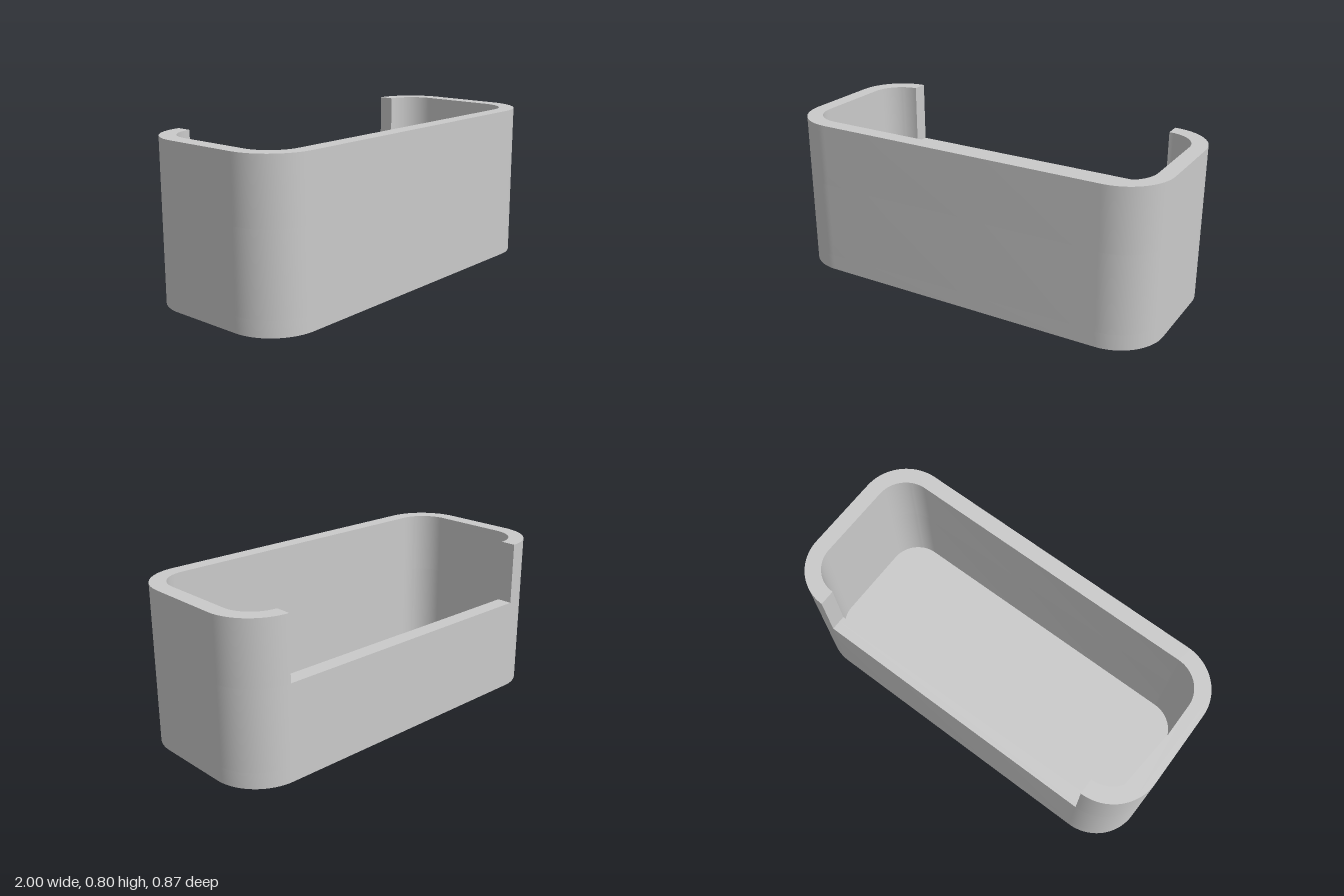
import * as THREE from 'three';
import { toCreasedNormals } from 'three/addons/utils/BufferGeometryUtils.js';

const HALF_X = 1, HALF_Z = 0.435, RADIUS = 0.24, WALL = 0.08;
const FLOOR = 0.08, SILL = 0.48, TOP = 0.8;

// Rounded rectangle running from the right end of the back edge, clockwise
// round to its left end; shape +y becomes the back (-z) of the model.
function outlinePoints(inset) {
  const r = RADIUS - inset, cx = HALF_X - RADIUS, cy = HALF_Z - RADIUS;
  const corners = [[cx, cy, 90], [cx, -cy, 0], [-cx, -cy, -90], [-cx, cy, -180]];
  const points = [], steps = 24;
  for (const [x, y, start] of corners) {
    for (let i = 0; i <= steps; i++) {
      const a = THREE.MathUtils.degToRad(start - (90 * i) / steps);
      points.push(new THREE.Vector2(x + r * Math.cos(a), y + r * Math.sin(a)));
    }
  }
  return points;
}

// Extrude a plan shape upwards between two heights
function layer(name, shape, y0, y1, material) {
  const geometry = new THREE.ExtrudeGeometry(shape, { depth: y1 - y0, bevelEnabled: false });
  geometry.rotateX(-Math.PI / 2);
  geometry.translate(0, y0, 0);
  const mesh = new THREE.Mesh(toCreasedNormals(geometry, 0.5), material);
  mesh.name = name;
  return mesh;
}

export function createModel() {
  const grey = new THREE.MeshStandardMaterial({ color: 0xcacaca });
  grey.name = 'grey';
  const outer = outlinePoints(0);
  const inner = outlinePoints(WALL).reverse(); // opposite winding, so it faces inwards

  // Solid floor
  const floorShape = new THREE.Shape(outer);

  // Closed wall up to the sill of the back opening
  const ringShape = new THREE.Shape(outer);
  ringShape.holes.push(new THREE.Path(inner));

  // Upper wall, open along the straight part of the back
  const openShape = new THREE.Shape([...outer, ...inner]);

  const model = new THREE.Group();
  model.name = 'openBackTray';
  model.add(
    layer('floor', floorShape, 0, FLOOR, grey),
    layer('lowerWall', ringShape, FLOOR, SILL, grey),
    layer('upperWall', openShape, SILL, TOP, grey)
  );
  return model;
}
